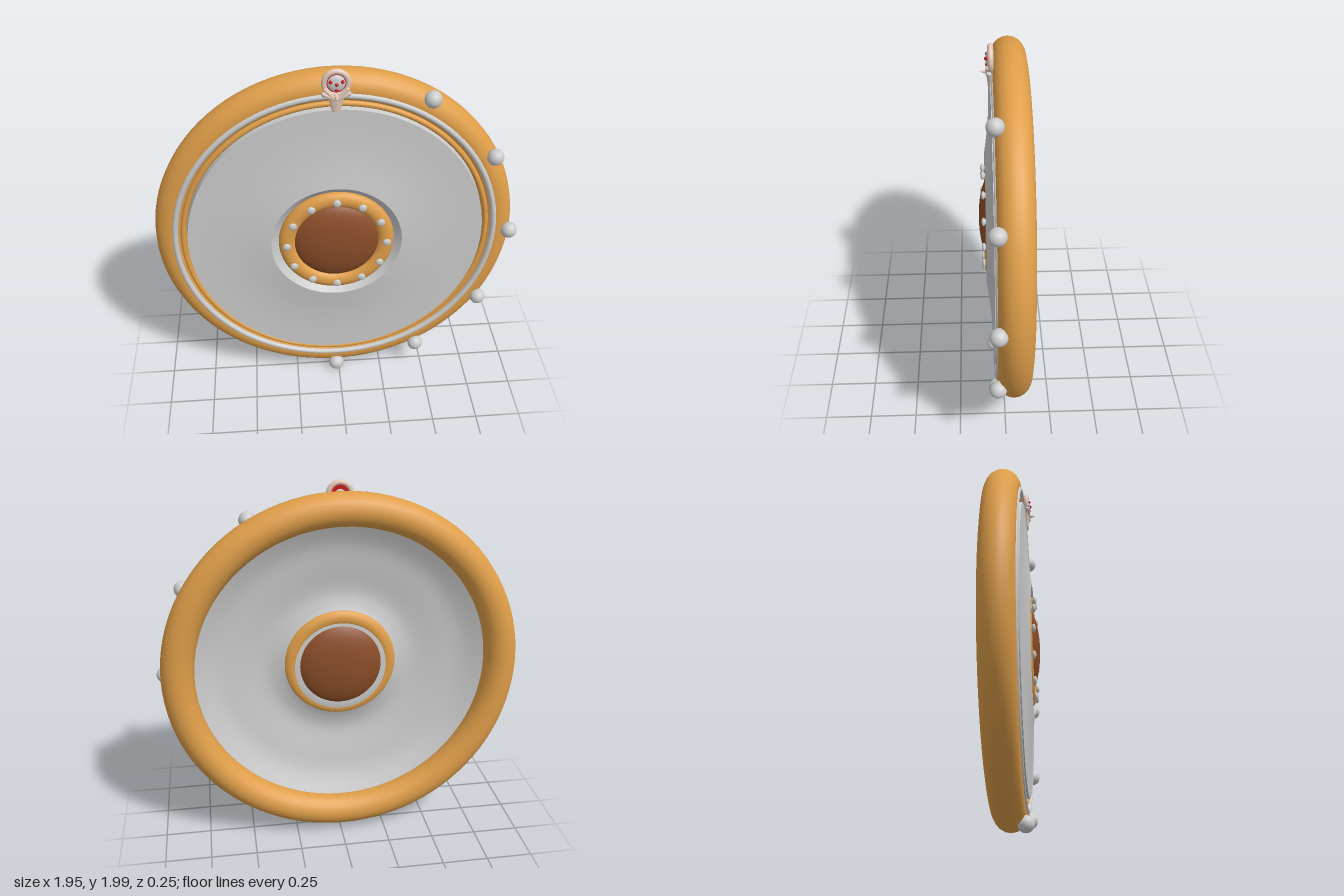
import * as THREE from 'three';
import { toCreasedNormals } from 'three/addons/utils/BufferGeometryUtils.js';

const mat = (color) => new THREE.MeshStandardMaterial({ color, side: THREE.DoubleSide });

export function createModel() {
  const model = new THREE.Group();
  const steel = mat(0xcccccc), gold = mat(0xdf9e49), wood = mat(0x8b4d28);
  const cream = mat(0xe3c8b8), red = mat(0xcc1414);

  const add = (name, geometry, material, x = 0, y = 0, z = 0, parent = model) => {
    const mesh = new THREE.Mesh(geometry, material);
    mesh.name = name;
    mesh.position.set(x, y, z);
    parent.add(mesh);
    return mesh;
  };
  const ring = (name, radius, tube, material, z, parent = model, y = 0) =>
    add(name, new THREE.TorusGeometry(radius, tube, 20, 96), material, 0, y, z, parent);
  const curve = (pts, n) =>
    new THREE.SplineCurve(pts.map((p) => new THREE.Vector2(...p))).getPoints(n);

  // Shield face: hollow dish behind, raised plate with a central recess in front
  const back = curve([[0.001, 0.025], [0.2, 0.025], [0.27, 0.032], [0.34, 0.058],
    [0.42, 0.07], [0.55, 0.05], [0.68, 0.025], [0.8, -0.03]], 40);
  const front = curve([[0.79, 0.058], [0.65, 0.06], [0.5, 0.07], [0.35, 0.09]], 16);
  const profile = [...back, ...front, new THREE.Vector2(0.3, 0.045), new THREE.Vector2(0.001, 0.04)];
  const dish = new THREE.LatheGeometry(profile, 96).rotateX(Math.PI / 2);
  add('shieldFace', toCreasedNormals(dish, 0.45), steel);

  // Rim, its inner ledge and the two beads
  ring('outerRim', 0.877, 0.088, gold, -0.041);
  const ledge = [[0.79, 0.0], [0.8, 0.022], [0.84, 0.034], [0.885, 0.044]]
    .map((p) => new THREE.Vector2(...p));
  add('rimLedge', new THREE.LatheGeometry(ledge, 96).rotateX(Math.PI / 2), gold);
  ring('steelBead', 0.856, 0.016, steel, 0.04);
  ring('goldBead', 0.813, 0.015, gold, 0.033);

  // Balls along the left half of the rim
  for (let i = 0; i < 6; i++) {
    const a = Math.PI / 3 - i * Math.PI / 6;
    add('rimBall', new THREE.SphereGeometry(0.044, 24, 16), steel,
      Math.cos(a) * 0.945, Math.sin(a) * 0.945, 0.045);
  }

  // Central boss, slightly tilted collar and its studs
  add('boss', new THREE.SphereGeometry(0.236, 48, 32), wood, 0, 0, 0.05).scale.z = 0.32;
  const collar = ring('bossCollar', 0.265, 0.045, gold, 0.06);
  collar.scale.z = 0.75;
  collar.rotation.x = -0.018;
  for (let i = 0; i < 12; i++) {
    const a = i * Math.PI / 6;
    const stud = new THREE.Group();
    stud.name = 'stud';
    stud.position.set(Math.cos(a) * 0.268, Math.sin(a) * 0.268, 0.09);
    add('studNeck', new THREE.CylinderGeometry(0.013, 0.016, 0.026, 12).rotateX(Math.PI / 2),
      steel, 0, 0, 0, stud);
    add('studHead', new THREE.SphereGeometry(0.022, 16, 12), steel, 0, 0, 0.012, stud).scale.z = 0.5;
    model.add(stud);
  }

  // Crest at the top: round frame, red disc and grey eye
  const crest = new THREE.Group();
  crest.name = 'crest';
  crest.position.set(0, 0.932, 0.055);
  model.add(crest);
  ring('crestFrame', 0.058, 0.014, cream, 0, crest);
  add('crestDisc', new THREE.CylinderGeometry(0.055, 0.055, 0.016, 32).rotateX(Math.PI / 2),
    red, 0, 0, 0, crest);
  add('crestEye', new THREE.SphereGeometry(0.044, 24, 16), steel, 0, 0, 0.006, crest).scale.z = 0.4;
  for (const [x, y] of [[0, 0], [-0.028, 0.012], [0.028, 0.012], [0, -0.03]])
    add('crestGem', new THREE.SphereGeometry(0.009, 12, 8), red, x, y, x || y ? 0.017 : 0.022, crest);

  // Crossed straps below the frame, tapered tongue and small spike
  for (const s of [-1, 1]) {
    for (const [k, y] of [[0.75, -0.05], [1.1, -0.066]]) {
      const strap = add('crestStrap', new THREE.CapsuleGeometry(0.009, 0.06, 4, 10),
        cream, s * 0.034, y, 0.015, crest);
      strap.rotation.z = -s * k;
    }
    add('strapKnob', new THREE.SphereGeometry(0.013, 12, 8), steel, s * 0.06, -0.055, 0.008, crest);
  }
  add('crestTongue', new THREE.CylinderGeometry(0.042, 0.02, 0.085, 20), cream,
    0, -0.107, 0.005, crest).scale.z = 0.4;
  const spike = add('crestSpike', new THREE.ConeGeometry(0.014, 0.045, 12), cream, 0, -0.068, 0.032, crest);
  spike.rotation.x = Math.PI / 2;

  model.position.set(-0.015, 0.995, 0);
  const root = new THREE.Group();
  root.name = 'shield';
  root.add(model);
  return root;
}
